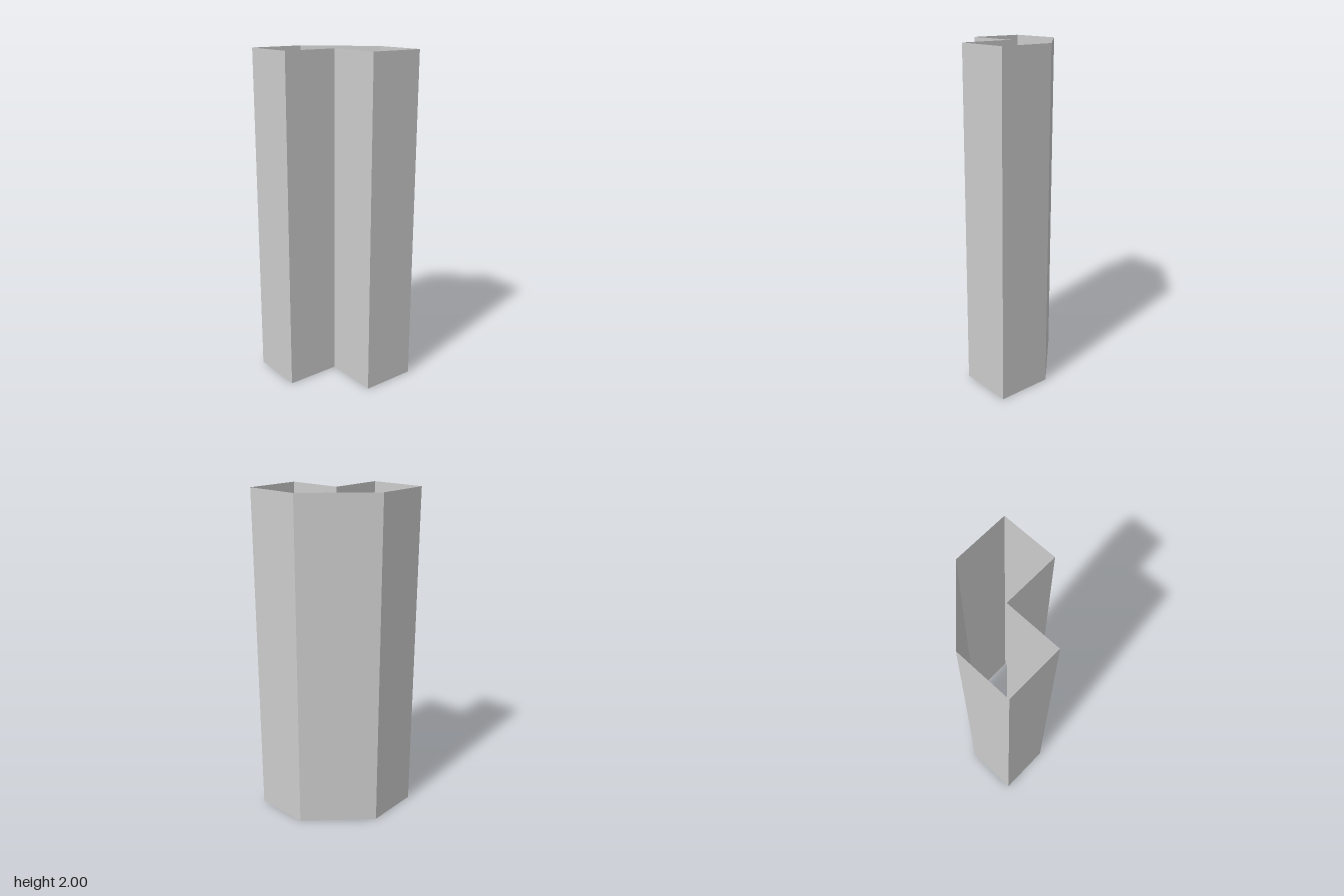
import * as THREE from 'three';

const HEIGHT = 2;
const R = 0.333;

// Plan outline (x, z): notched at the front right, chamfered at the back left
const OUTLINE = [[0, R], [R, R], [R, 0], [0, -R], [-R, -R], [-R, 0], [0, 0]];

// Open tube: one separate flat quad per outline edge, facing outwards
function wallGeometry(outline, height) {
  const positions = [];
  outline.forEach(([ax, az], i) => {
    const [bx, bz] = outline[(i + 1) % outline.length];
    positions.push(
      ax, 0, az, bx, 0, bz, bx, height, bz,
      ax, 0, az, bx, height, bz, ax, height, az,
    );
  });
  const geometry = new THREE.BufferGeometry();
  geometry.setAttribute('position', new THREE.Float32BufferAttribute(positions, 3));
  geometry.computeVertexNormals();
  return geometry;
}

export function createModel() {
  const group = new THREE.Group();
  group.name = 'notchedColumn';

  // Thin walls without top or bottom caps
  const material = new THREE.MeshStandardMaterial({
    color: 0xcccccc, flatShading: true, side: THREE.DoubleSide,
  });
  const walls = new THREE.Mesh(wallGeometry(OUTLINE, HEIGHT), material);
  walls.name = 'columnWalls';
  group.add(walls);
  return group;
}
